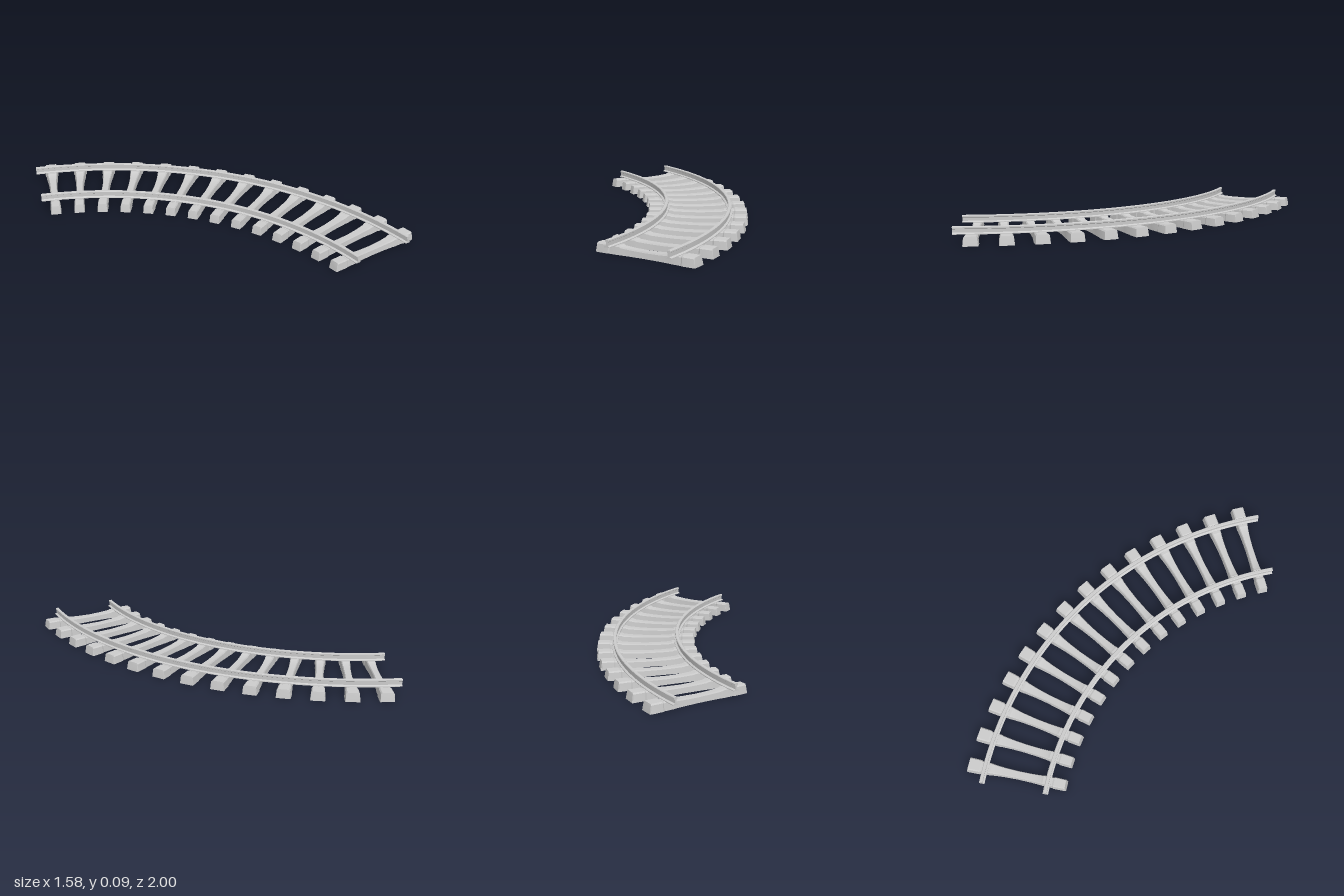
import * as THREE from 'three';
import { toCreasedNormals } from 'three/addons/utils/BufferGeometryUtils.js';

const DEG = Math.PI / 180;
const CX = -1.375, CZ = 1.0;            // centre of the curve
const R = 1.87, HALF_GAUGE = 0.183;     // track centreline radius
const SWEEP = 69.6 * DEG;

const polar = (r, a, y) => new THREE.Vector3(CX + r * Math.cos(a), y, CZ - r * Math.sin(a));

// Skin a row of matching rings and close both ends (contour: flat outline of the ring)
function loft(rings, contour, crease) {
  const pos = [];
  const tri = (...p) => p.forEach((v) => pos.push(v.x, v.y, v.z));
  const n = contour.length;
  for (let k = 0; k < rings.length - 1; k++) {
    const a = rings[k], b = rings[k + 1];
    for (let i = 0; i < n; i++) {
      const j = (i + 1) % n;
      tri(a[i], a[j], b[j]);
      tri(a[i], b[j], b[i]);
    }
  }
  const first = rings[0], last = rings[rings.length - 1];
  for (const [i, j, k] of THREE.ShapeUtils.triangulateShape(contour, [])) {
    tri(first[i], first[k], first[j]);
    tri(last[i], last[j], last[k]);
  }
  const g = new THREE.BufferGeometry();
  g.setAttribute('position', new THREE.Float32BufferAttribute(pos, 3));
  g.computeVertexNormals();
  return toCreasedNormals(g, crease);
}

// Rail: foot, web and head swept along the arc
function railGeometry(radius) {
  const side = [[0.016, 0.046], [0.016, 0.050], [0.005, 0.055], [0.005, 0.073],
    [0.010, 0.076], [0.010, 0.084], [0.007, 0.087]];
  const profile = [...side, ...side.map(([x, y]) => [-x, y]).reverse()]
    .map(([x, y]) => new THREE.Vector2(x, y));
  const rings = [], steps = 42;
  for (let k = 0; k <= steps; k++) {
    const a = SWEEP * (1 - k / steps);
    rings.push(profile.map((p) => polar(radius + p.x, a, p.y)));
  }
  return loft(rings, profile, 25 * DEG);
}

// Sleeper: chamfered section, high end blocks, lower rail seats, slim waist.
// Widths are angular, so it flares towards the outside of the curve.
function sleeperGeometry(angle) {
  const section = (half, h) => [[-half, 0], [half, 0], [half * 0.88, h - 0.007], [half * 0.72, h],
    [-half * 0.72, h], [-half * 0.88, h - 0.007]].map(([x, y]) => new THREE.Vector2(x, y));
  const halfSide = [ // distance from centreline, half width, height
    [0.000, 0.023, 0.036], [0.080, 0.025, 0.038], [0.140, 0.029, 0.042], [0.152, 0.031, 0.047],
    [0.208, 0.032, 0.047], [0.216, 0.036, 0.050], [0.282, 0.036, 0.050], [0.290, 0.034, 0.044]];
  const stations = [...halfSide.slice(1).reverse().map(([d, w, h]) => [-d, w, h]), ...halfSide];
  const rings = stations.map(([d, w, h]) => section(w, h).map((p) => {
    const lean = Math.abs(d) > 0.285 ? -Math.sign(d) * p.y * 0.15 : 0; // sloped end faces
    return polar(R + d + lean, angle + p.x / R, p.y);
  }));
  return loft(rings, section(0.034, 0.044), 20 * DEG);
}

export function createModel() {
  const model = new THREE.Group();
  model.name = 'curvedTrack';
  const grey = new THREE.MeshStandardMaterial({ color: 0xcccccc });
  const add = (parent, name, geometry) => {
    const mesh = new THREE.Mesh(geometry, grey);
    mesh.name = name;
    parent.add(mesh);
    return mesh;
  };

  add(model, 'innerRail', railGeometry(R - HALF_GAUGE));
  add(model, 'outerRail', railGeometry(R + HALF_GAUGE));

  const sleepers = new THREE.Group();
  sleepers.name = 'sleepers';
  model.add(sleepers);
  for (let i = 0; i < 14; i++) {
    add(sleepers, 'sleeper', sleeperGeometry((2.8 + i * 4.93) * DEG));
  }
  return model;
}
